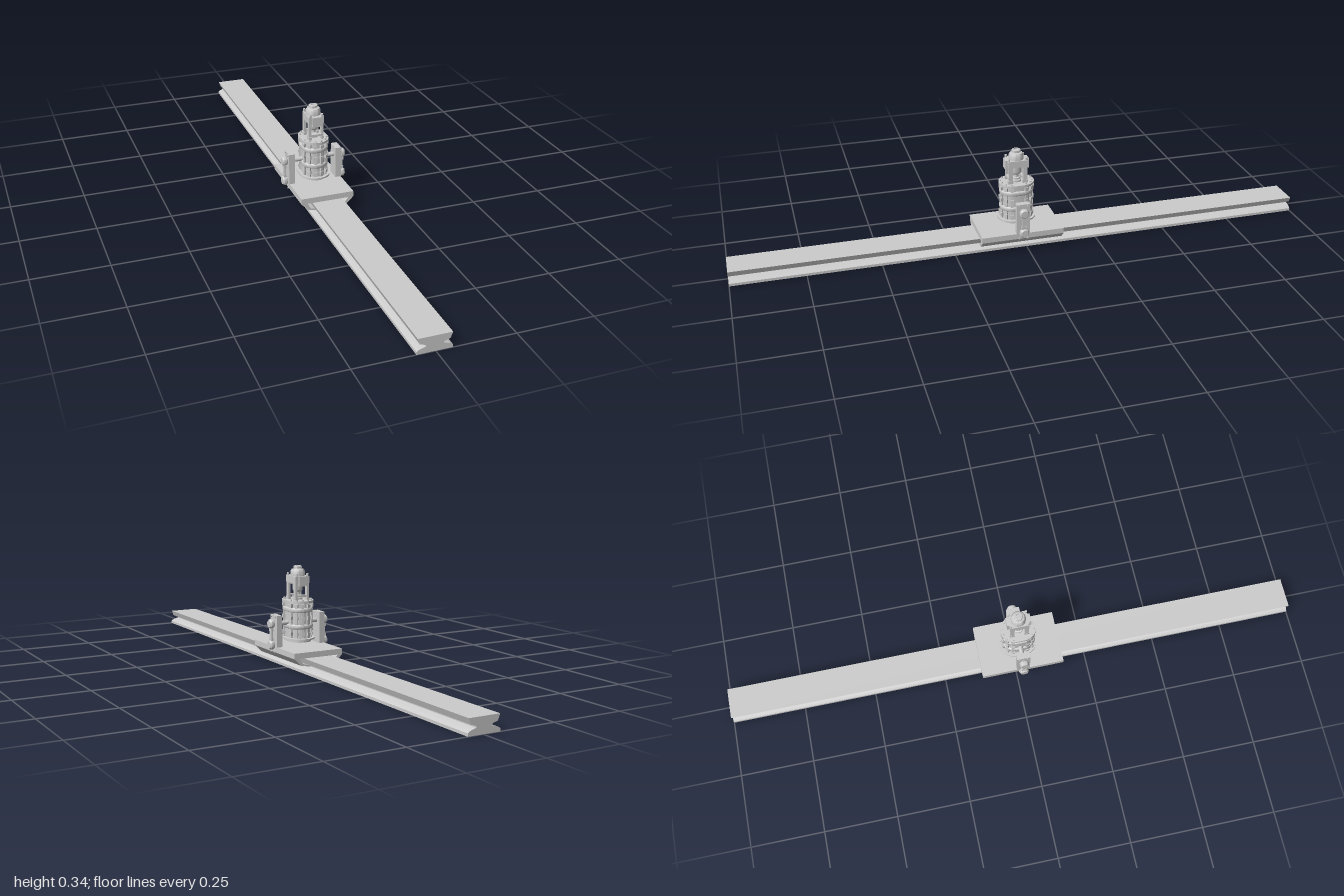
import * as THREE from 'three';
import { toCreasedNormals } from 'three/addons/utils/BufferGeometryUtils.js';

const material = new THREE.MeshStandardMaterial({ color: 0xcccccc });

function add(parent, name, geometry, x = 0, y = 0, z = 0) {
  const mesh = new THREE.Mesh(toCreasedNormals(geometry, 0.6), material);
  mesh.name = name;
  mesh.position.set(x, y, z);
  parent.add(mesh);
  return mesh;
}

function box(parent, name, w, h, d, x, y, z) {
  return add(parent, name, new THREE.BoxGeometry(w, h, d), x, y, z);
}

// Profile symmetric in x, given as its right half from bottom to top, extruded along z
function mirroredExtrusion(half, z0, z1) {
  const right = half.map(([x, y]) => new THREE.Vector2(x, y));
  const left = half.map(([x, y]) => new THREE.Vector2(-x, y)).reverse();
  const shape = new THREE.Shape([...right, ...left]);
  return new THREE.ExtrudeGeometry(shape, { depth: z1 - z0, bevelEnabled: false }).translate(0, 0, z0);
}

// Upright slab with a stadium outline, long in z
const STRAIGHT = 0.014;
function ovalSlab(r, y0, y1, bevel = 0) {
  const shape = new THREE.Shape();
  shape.absarc(0, STRAIGHT, r, 0, Math.PI, false);
  shape.absarc(0, -STRAIGHT, r, Math.PI, Math.PI * 2, false);
  shape.closePath();
  const g = new THREE.ExtrudeGeometry(shape, {
    depth: y1 - y0 - 2 * bevel, curveSegments: 12, bevelEnabled: bevel > 0,
    bevelThickness: bevel, bevelSize: bevel, bevelOffset: -bevel, bevelSegments: 3,
  });
  return g.translate(0, 0, bevel).rotateX(-Math.PI / 2).translate(0, y0, 0);
}

// Turned part around y
function turned(points, sides = 24) {
  return new THREE.LatheGeometry(points.map(([r, y]) => new THREE.Vector2(r, y)), sides);
}

// Bar around the x axis
function barX(r, length, sides = 20) {
  return new THREE.CylinderGeometry(r, r, length, sides).rotateZ(Math.PI / 2);
}

function buildPivot(side) {
  const g = new THREE.Group();
  g.name = side > 0 ? 'leftPivot' : 'rightPivot';
  // Upright bracket with the shaft through it
  box(g, 'upright', 0.021, 0.109, 0.046, side * 0.0835, 0.1265, 0);
  add(g, 'shaft', barX(0.008, 0.062), side * 0.066, 0.151, 0);
  // Two rounded bosses joined by a link
  for (const y of [0.152, 0.079]) {
    const boss = turned([[0, 0], [0.014, 0], [0.016, 0.002], [0.016, 0.011], [0.012, 0.016], [0, 0.016]]);
    add(g, 'boss', boss.rotateZ(-side * Math.PI / 2), side * 0.0965, y, 0);
    add(g, 'bossCollar', barX(0.011, 0.006), side * 0.095, y, 0);
  }
  box(g, 'link', 0.006, 0.073, 0.014, side * 0.103, 0.1155, 0);
  for (const y of [0.132, 0.099]) box(g, 'linkEnd', 0.009, 0.01, 0.018, side * 0.103, y, 0);
  // Small fixing heads at the bracket corners
  for (const y of [0.055, 0.176])
    for (const z of [-0.014, 0.014])
      add(g, 'fixingHead', barX(0.003, 0.005, 8), side * 0.0945, y, z);
  return g;
}

function buildBody() {
  const g = new THREE.Group();
  g.name = 'body';
  add(g, 'basePlate', ovalSlab(0.039, 0.086, 0.095));
  add(g, 'bottomFlange', ovalSlab(0.052, 0.095, 0.1));
  add(g, 'shell', ovalSlab(0.039, 0.1, 0.221));
  add(g, 'topFlange', ovalSlab(0.047, 0.221, 0.229));
  // Rounded straps round the shell
  for (const y of [0.14, 0.197]) add(g, 'strap', ovalSlab(0.045, y - 0.008, y + 0.008, 0.004));
  // Upright ribs and their clamps following the oval outline
  const count = 12;
  for (let i = 0; i < count; i++) {
    const a = (i + 0.5) / count * Math.PI * 2;
    const x = Math.cos(a) * 0.04;
    const z = Math.sin(a) * 0.04 + Math.sign(Math.sin(a)) * STRAIGHT;
    box(g, 'rib', 0.007, 0.118, 0.009, x, 0.16, z).rotation.y = -a;
    for (const y of [0.115, 0.17, 0.212])
      box(g, 'clamp', 0.013, 0.011, 0.012, x, y, z).rotation.y = -a;
    // Bolt heads on the top flange
    add(g, 'flangeBolt', new THREE.CylinderGeometry(0.0032, 0.0032, 0.005, 6), x, 0.231, z);
  }
  return g;
}

function buildDrive() {
  const g = new THREE.Group();
  g.name = 'drive';
  // Coupling and spindle inside the open frame
  add(g, 'coupling', turned([[0, 0.229], [0.017, 0.229], [0.017, 0.235], [0.013, 0.237],
    [0.013, 0.243], [0.008, 0.245], [0.008, 0.256], [0.013, 0.256], [0.017, 0.262], [0.017, 0.29], [0, 0.29]]));
  // Four-post frame
  for (const sx of [-1, 1])
    for (const sz of [-1, 1]) {
      box(g, 'post', 0.008, 0.062, 0.014, sx * 0.022, 0.259, sz * 0.025);
      box(g, 'postFoot', 0.01, 0.01, 0.018, sx * 0.022, 0.234, sz * 0.025);
      add(g, 'headBolt', new THREE.CylinderGeometry(0.004, 0.004, 0.01, 8), sx * 0.021, 0.315, sz * 0.03);
    }
  for (const sz of [-1, 1]) box(g, 'crossBar', 0.05, 0.007, 0.012, 0, 0.243, sz * 0.025);
  box(g, 'frameTop', 0.054, 0.024, 0.066, 0, 0.299, 0);
  for (const sz of [-1, 1]) box(g, 'sidePad', 0.03, 0.034, 0.009, 0, 0.295, sz * 0.0365);
  // Domed head and cap
  add(g, 'head', turned([[0, 0.31], [0.025, 0.31], [0.025, 0.326], [0.021, 0.333], [0.011, 0.335],
    [0.011, 0.336], [0.015, 0.336], [0.015, 0.343], [0.013, 0.3445], [0.008, 0.3445], [0.008, 0.341], [0, 0.341]]));
  return g;
}

export function createModel() {
  const model = new THREE.Group();
  model.name = 'railCarriage';

  // Long grooved rail
  add(model, 'rail', mirroredExtrusion([[0.055, 0], [0.055, 0.009], [0.051, 0.013], [0.043, 0.0165],
    [0.027, 0.021], [0.027, 0.026], [0.046, 0.032], [0.053, 0.051]], -1, 1), -0.003);

  // Sliding unit
  const slider = new THREE.Group();
  slider.name = 'slider';
  slider.position.set(-0.003, 0, 0.022);
  model.add(slider);

  // Saddle plate whose lips hook into the grooves
  const saddle = [[0.03, 0.022], [0.068, 0.029], [0.0925, 0.053], [0.0925, 0.072]];
  const inner = [[0.074, 0.0525], [0.06, 0.034], [0.03, 0.0255]];
  const outline = [...saddle, ...saddle.map(([x, y]) => [-x, y]).reverse(),
    ...inner.map(([x, y]) => [-x, y]).reverse(), ...inner];
  const shape = new THREE.Shape(outline.map(([x, y]) => new THREE.Vector2(x, y)));
  add(slider, 'saddle', new THREE.ExtrudeGeometry(shape, { depth: 0.286, bevelEnabled: false }), 0, 0, -0.143);

  slider.add(buildPivot(1), buildPivot(-1), buildBody(), buildDrive());
  return model;
}
